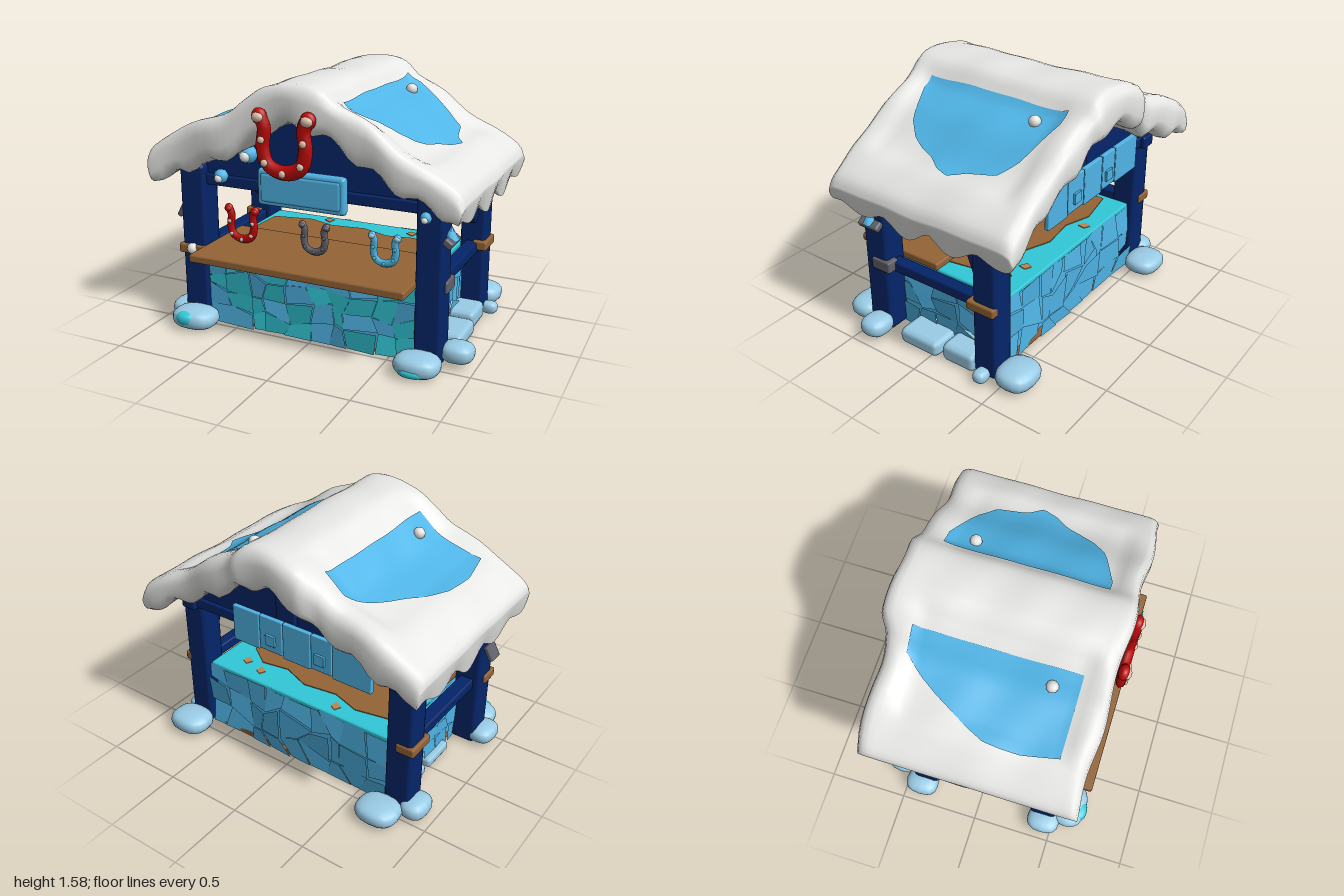
import * as THREE from 'three';
import { RoundedBoxGeometry } from 'three/addons/geometries/RoundedBoxGeometry.js';

const paint = (name, color) => new THREE.MeshStandardMaterial({ name, color });

export function createModel() {
  const root = new THREE.Group();
  root.name = 'marketStall';
  const snow = paint('snow', 0xededeb), navy = paint('navy wood', 0x042569);
  const ice = paint('ice', 0x50b6e8), teal = paint('teal ice', 0x32c8d8);
  const stone = paint('frosty stone', 0x9acce6), brown = paint('brown wood', 0x946436), lightWood = paint('light wood', 0xbc8450);
  const red = paint('red', 0xbe0808), grey = paint('iron', 0x60606a), cream = paint('cream', 0xe0c0ac);
  for (const m of [ice, teal]) m.side = THREE.DoubleSide;

  let seed = 7;
  const rnd = () => (seed = (seed * 16807) % 2147483647) / 2147483647;
  const add = (name, geo, mat, x = 0, y = 0, z = 0, parent = root) => {
    const m = new THREE.Mesh(geo, mat);
    m.name = name;
    m.position.set(x, y, z);
    parent.add(m);
    return m;
  };
  // box given by its min and max on each axis
  const box = (name, mat, x0, x1, y0, y1, z0, z1, r = 0.012) =>
    add(name, new RoundedBoxGeometry(x1 - x0, y1 - y0, z1 - z0, 1, r), mat, (x0 + x1) / 2, (y0 + y1) / 2, (z0 + z1) / 2);
  // thin flat plate with an (x, z) outline
  const plate = (name, mat, y, pts) => {
    const s = new THREE.Shape(pts.map(([x, z]) => new THREE.Vector2(x, -z)));
    add(name, new THREE.ExtrudeGeometry(s, { depth: 0.008, bevelEnabled: false }), mat, 0, y, 0).rotation.x = -Math.PI / 2;
  };
  const mesh = (pos, idx) => {
    const g = new THREE.BufferGeometry();
    g.setAttribute('position', new THREE.Float32BufferAttribute(pos, 3));
    if (idx) g.setIndex(idx);
    g.computeVertexNormals();
    return g;
  };

  // ---- snowy roof: a profile swept along z with rounded ends and dripping edges
  const N = 52;
  const spline = pts => new THREE.SplineCurve(pts.map(p => new THREE.Vector2(...p))).getPoints(N);
  const top = spline([[-1, 1.06], [-0.96, 1.14], [-0.72, 1.28], [-0.47, 1.36], [-0.34, 1.46], [-0.22, 1.54], [-0.04, 1.57],
    [0.12, 1.55], [0.24, 1.46], [0.42, 1.38], [0.6, 1.25], [0.78, 1.16], [0.92, 1.07], [0.96, 0.99]]);
  const low = spline([[-0.97, 0.95], [-0.89, 0.97], [-0.68, 1.03], [-0.46, 1.12], [-0.33, 1.18], [-0.2, 1.29], [-0.02, 1.33],
    [0.1, 1.31], [0.2, 1.26], [0.4, 1.14], [0.58, 1.05], [0.74, 0.97], [0.86, 0.92], [0.93, 0.91]]);
  const step = THREE.MathUtils.smoothstep;
  const relief = (x, z) => {
    const a = Math.abs(x), hollow = step(a, 0.15, 0.25) * (1 - step(a, 0.66, 0.8)) * (1 - step(Math.abs(z), 0.44, 0.56));
    return -0.035 * hollow + 0.004 * Math.sin(9 * z + 5 * x) + 0.003 * Math.sin(17 * z - 8 * x);
  };
  const roofY = (x, z) => {
    let i = 0;
    while (i < N - 1 && top[i + 1].x < x) i++;
    const t = (x - top[i].x) / (top[i + 1].x - top[i].x);
    return top[i].y + (top[i + 1].y - top[i].y) * t + relief(x, z);
  };
  const stations = [[-0.66, 0.35], [-0.645, 0.72], [-0.615, 0.95]];
  for (let k = 0; k <= 32; k++) stations.push([-0.58 + k * 1.16 / 32, 1]);
  stations.push([0.6, 0.95], [0.625, 0.72], [0.635, 0.35]);
  const pos = [], idx = [], R = 2 * (N + 1);
  for (const [z, f] of stations) {
    const drip = (0.065 + 0.025 * Math.cos(5 * z + 0.3)), ring = [];
    for (let i = 0; i <= N; i++) {
      const t = top[i], b = low[i], eave = step(Math.abs(b.x), 0.8, 0.92), rim = step(Math.abs(z), 0.48, 0.6);
      const ty = t.y + relief(t.x, z);
      const by = b.y - eave * drip * Math.pow(Math.abs(Math.sin(9.5 * z + b.x)), 1.5) - rim * (1 - eave) * 0.03 * Math.sin(24 * b.x);
      const mx = (t.x + b.x) / 2, my = (ty + by) / 2;
      const ridge = z < 0 ? 0.04 * (1 - step(Math.abs(t.x + 0.05), 0.22, 0.32)) : 0;
      const wz = z + rim * (0.012 * Math.sin(11 * t.x + 1) - ridge);
      ring[i] = [mx + (t.x - mx) * f, my + (ty - my) * f, wz];
      ring[R - 1 - i] = [mx + (b.x - mx) * f, my + (by - my) * f, wz];
    }
    pos.push(...ring.flat());
  }
  const S = stations.length, last = (S - 1) * R;
  for (let k = 0; k < S - 1; k++) for (let i = 0; i < R; i++) {
    const a = k * R + i, b = k * R + (i + 1) % R;
    idx.push(a, a + R, b, b, a + R, b + R);
  }
  for (let i = 0; i < N; i++) {
    const t = i, u = i + 1, b = R - 1 - i, c = R - 2 - i;
    idx.push(t, u, b, u, c, b, last + t, last + b, last + u, last + u, last + b, last + c);
  }
  add('snowRoof', mesh(pos, idx), snow);

  // bare icy patches on both slopes: inner x, outer x at evenly spaced z
  const patch = (name, inner, outer) => {
    const p = [], q = [], rows = 40, cols = 14;
    for (let k = 0; k <= rows; k++) {
      const z = -0.51 + 0.97 * k / rows, g = k / rows * (outer.length - 1), j = Math.min(Math.floor(g), outer.length - 2);
      const xo = outer[j] + (outer[j + 1] - outer[j]) * (g - j);
      for (let i = 0; i <= cols; i++) {
        const x = inner + (xo - inner) * i / cols;
        p.push(x, roofY(x, z) + 0.009, z);
        if (k < rows && i < cols) {
          const a = k * (cols + 1) + i, c = a + cols + 1;
          if (inner > 0) q.push(a, c, a + 1, a + 1, c, c + 1);
          else q.push(a, a + 1, c, a + 1, c + 1, c);
        }
      }
    }
    add(name, mesh(p, q), ice);
  };
  patch('leftRoofPatch', 0.21, [0.3, 0.52, 0.63, 0.65, 0.67, 0.73, 0.7, 0.64, 0.61, 0.57, 0.49, 0.28]);
  patch('rightRoofPatch', -0.31, [-0.44, -0.53, -0.6, -0.66, -0.72, -0.77, -0.78, -0.78, -0.76, -0.74]);

  // ---- timber frame
  for (const [x0, x1] of [[-0.86, -0.69], [0.66, 0.82]]) {
    box('frontPost', navy, x0, x1, 0.01, 1.02, 0.34, 0.51, 0.025);
    box('backPost', navy, x0, x1, 0.01, 1.02, -0.46, -0.3, 0.025);
    box('sideTopBeam', navy, x0 + 0.03, x1 - 0.03, 0.88, 0.96, -0.5, 0.5);
    box('sideRail', navy, x0 + 0.04, x1 - 0.04, 0.43, 0.5, -0.35, 0.4);
    box('backBrace', navy, x0 + 0.05, x1 - 0.05, 0.62, 0.94, -0.28, -0.22).rotation.x = 0.36;
  }
  for (const z of [0.42, -0.42]) {
    const s = new THREE.Shape([[-0.84, 0.92], [0.8, 0.92], [0.8, 1.0], [0, 1.41], [-0.84, 1.0]].map(p => new THREE.Vector2(...p)));
    add('gable', new THREE.ExtrudeGeometry(s, { depth: 0.06, bevelEnabled: false }), navy, 0, 0, z - 0.03);
    box('gableBeam', navy, -0.84, 0.8, 0.89, 0.96, z - 0.05, z + 0.05);
  }
  box('kingPost', navy, -0.07, 0.07, 0.93, 1.36, -0.47, -0.38);
  box('ceiling', lightWood, -0.7, 0.68, 0.93, 0.95, -0.4, 0.4, 0.005);
  plate('wornCeilingPatch', cream, 0.925, [[-0.5, 0.1], [-0.35, 0.28], [-0.1, 0.22], [-0.05, 0.05], [-0.3, -0.02]]);
  plate('wornCeilingPatch', cream, 0.925, [[0.2, 0.0], [0.3, 0.14], [0.5, 0.1], [0.45, -0.06]]);

  // ---- base with ice slabs and the inner worktop
  box('floor', brown, -0.69, 0.66, 0.0, 0.03, -0.42, 0.44, 0.005);
  box('iceCore', ice, -0.68, 0.65, 0.02, 0.45, -0.39, 0.44, 0.005);
  box('iceTop', teal, -0.69, 0.66, 0.44, 0.475, -0.42, 0.1);
  plate('innerWorktop', brown, 0.473, [[-0.66, 0.1], [0.56, 0.1], [0.52, -0.14], [0.38, -0.24], [0.2, -0.21], [0.02, -0.28],
    [-0.2, -0.25], [-0.38, -0.31], [-0.64, -0.26]]);
  for (const [x, z] of [[0.44, -0.27], [0.3, -0.31], [-0.3, -0.34]])
    plate('wornChip', lightWood, 0.472, [[x, z], [x + 0.05, z + 0.03], [x + 0.06, z - 0.02], [x + 0.02, z - 0.04]]);
  // irregular slabs on a jittered grid, each tilted its own way
  const slabWall = (name, w, h, cols, rows, mix, x, z, turn) => {
    const P = [], sets = [[], []];
    for (let j = 0; j <= rows; j++) for (let i = 0; i <= cols; i++) {
      const inX = i > 0 && i < cols, inY = j > 0 && j < rows;
      P.push([(i + (inX ? (rnd() - 0.5) * 0.75 : 0)) * w / cols - w / 2, (j + (inY ? (rnd() - 0.5) * 0.75 : 0)) * h / rows]);
    }
    for (let j = 0; j < rows; j++) for (let i = 0; i < cols; i++) {
      const a = j * (cols + 1) + i, c = [a, a + 1, a + cols + 2, a + cols + 1];
      const tx = (rnd() - 0.5) * 0.2, ty = (rnd() - 0.5) * 0.2;
      const v = c.map(n => [...P[n], 0.02 + (P[n][0] - P[a][0]) * tx + (P[n][1] - P[a][1]) * ty]);
      const set = sets[rnd() < mix ? 1 : 0];
      for (const n of [0, 1, 2, 0, 2, 3]) set.push(...v[n]);
    }
    const g = new THREE.Group();
    g.name = name;
    g.position.set(x, 0.008, z);
    g.rotation.y = turn;
    root.add(g);
    sets.forEach((s, n) => s.length && add(name + (n ? 'TealSlabs' : 'BlueSlabs'), mesh(s), n ? teal : ice, 0, 0, 0, g));
  };
  slabWall('frontWall', 1.36, 0.46, 10, 4, 0.5, -0.015, 0.46, 0);
  slabWall('backWall', 1.36, 0.46, 9, 3, 0, -0.015, -0.41, Math.PI);
  slabWall('leftWall', 0.82, 0.43, 5, 3, 0, 0.66, 0.02, Math.PI / 2);
  slabWall('rightWall', 0.82, 0.43, 5, 3, 0, -0.69, 0.02, -Math.PI / 2);

  // ---- counter, pegs on the posts
  box('counter', brown, -0.7, 0.67, 0.465, 0.515, 0.08, 0.685);
  box('rightFrontPeg', brown, -0.875, -0.69, 0.45, 0.51, 0.4, 0.53);
  box('rightBackPeg', brown, -0.88, -0.76, 0.45, 0.51, -0.47, -0.28);
  box('leftBackPeg', brown, 0.75, 0.84, 0.45, 0.51, -0.46, -0.27);
  box('leftFrontPeg', grey, 0.75, 0.835, 0.44, 0.515, 0.31, 0.45);

  // ---- hanging boards at the back and front sign
  [[-0.61, -0.35], [-0.345, -0.2], [-0.195, 0.0], [0.005, 0.17], [0.175, 0.37]].forEach(([x0, x1], i) => {
    box('backBoard', ice, x0, x1, 0.8 + 0.012 * (i % 2), 1.04, -0.5, -0.47, 0.006);
    if (i % 2) box('boardBlock', ice, x0 + 0.045, x0 + 0.115, 0.86, 0.93, -0.515, -0.49, 0.004);
  });
  box('signRim', ice, -0.31, 0.25, 0.83, 1.055, 0.47, 0.53, 0.025);
  box('signPanel', ice, -0.285, 0.225, 0.855, 1.03, 0.5, 0.538, 0.018);

  // ---- horseshoes
  const shoe = (name, mat, tipMat, padMat, studMat, s, x, y, z) => {
    const g = new THREE.Group();
    g.name = name;
    g.position.set(x, y, z);
    g.scale.set(s, s, s * 0.7);
    root.add(g);
    const half = [[-0.15, 0.16], [-0.122, 0.1], [-0.132, -0.02], [-0.1, -0.115]];
    const pts = [...half, [0, -0.152], ...half.map(([a, b]) => [-a, b]).reverse()].map(p => new THREE.Vector3(...p, 0));
    const curve = new THREE.CatmullRomCurve3(pts);
    add(name + 'Bow', new THREE.TubeGeometry(curve, 32, 0.044, 8), mat, 0, 0, 0, g);
    for (const p of [pts[0], pts[8]]) {
      add(name + 'Tip', new THREE.SphereGeometry(0.048, 10, 8), tipMat, p.x, p.y - 0.005, 0, g);
      add(name + 'TipPad', new THREE.SphereGeometry(0.038, 10, 8), padMat, p.x, p.y - 0.008, 0.026, g).scale.y = 0.8;
    }
    for (const t of [0.2, 0.35, 0.5, 0.65, 0.8]) {
      const p = curve.getPoint(t);
      add(name + 'Stud', new THREE.IcosahedronGeometry(0.022, 1), studMat, p.x, p.y, 0.038, g);
    }
  };
  shoe('bigHorseshoe', red, red, cream, cream, 1, -0.055, 1.235, 0.658);
  shoe('redHorseshoe', red, red, red, cream, 0.61, -0.5, 0.64, 0.39);
  shoe('ironHorseshoe', grey, grey, grey, grey, 0.52, -0.01, 0.62, 0.39);
  shoe('iceHorseshoe', ice, ice, stone, teal, 0.52, 0.435, 0.62, 0.39);

  // ---- foundation stones: squarish ellipsoids
  const rockShape = new THREE.SphereGeometry(1, 16, 12), rp = rockShape.attributes.position;
  const puff = v => Math.sign(v) * Math.pow(Math.abs(v), 0.78);
  for (let i = 0; i < rp.count; i++) rp.setXYZ(i, puff(rp.getX(i)) * 0.97, puff(rp.getY(i)), puff(rp.getZ(i)) * 0.97);
  rockShape.computeVertexNormals();
  const rock = (name, mat, x, y, z, a, b, c) => add(name, rockShape, mat, x, y, z).scale.set(a, b, c);
  for (const [x, z, a, b, c, lift = 0] of [
    [-0.74, 0.58, 0.15, 0.066, 0.115], [-0.88, 0.44, 0.09, 0.055, 0.11, 0.01], [0.72, 0.59, 0.14, 0.064, 0.11],
    [0.89, 0.39, 0.1, 0.06, 0.09, 0.025], [-0.72, -0.56, 0.14, 0.06, 0.12], [-0.88, -0.4, 0.085, 0.06, 0.11],
    [0.74, -0.56, 0.14, 0.065, 0.12], [0.85, -0.38, 0.055, 0.04, 0.045]]) rock('stone', stone, x, b + lift, z, a, b, c);
  box('sideStone', stone, 0.62, 0.86, -0.002, 0.1, -0.05, 0.24, 0.035);
  box('sideStone', stone, 0.62, 0.84, -0.002, 0.115, -0.31, -0.07, 0.035);
  box('sideStone', stone, -0.75, -0.58, -0.002, 0.06, -0.02, 0.22, 0.02);
  box('sideStone', stone, -0.75, -0.56, -0.002, 0.06, -0.3, -0.06, 0.02);
  rock('stoneIce', teal, -0.76, 0.078, 0.625, 0.075, 0.045, 0.078);
  rock('stoneIce', teal, 0.71, 0.042, 0.625, 0.09, 0.032, 0.082);

  // ---- snow clumps and shards
  for (const [x, y, z, r] of [[-0.4, 1.11, 0.46, 0.058], [-0.58, 0.96, 0.48, 0.044], [0.72, 0.89, 0.51, 0.034]]) {
    add('frostClump', new THREE.IcosahedronGeometry(r, 1), ice, x, y, z);
    add('snowClump', new THREE.IcosahedronGeometry(r * 0.6, 1), snow, x, y - 0.008, z + r * 0.65);
  }
  add('postSnow', new THREE.IcosahedronGeometry(0.036, 1), snow, -0.78, 0.485, 0.52);
  for (const [x, z] of [[0.3, -0.35], [-0.4, 0.31]])
    add('roofSnowball', new THREE.IcosahedronGeometry(0.037, 1), snow, x, roofY(x, z) + 0.02, z);
  box('leftShard', grey, 0.81, 0.87, 0.73, 0.775, 0.35, 0.5).rotation.z = -0.6;
  add('leftShardIce', new THREE.ConeGeometry(0.045, 0.08, 6), ice, 0.84, 0.8, 0.43);
  box('rightShard', grey, -0.91, -0.875, 0.65, 0.75, 0.36, 0.46).rotation.z = -0.5;
  return root;
}
